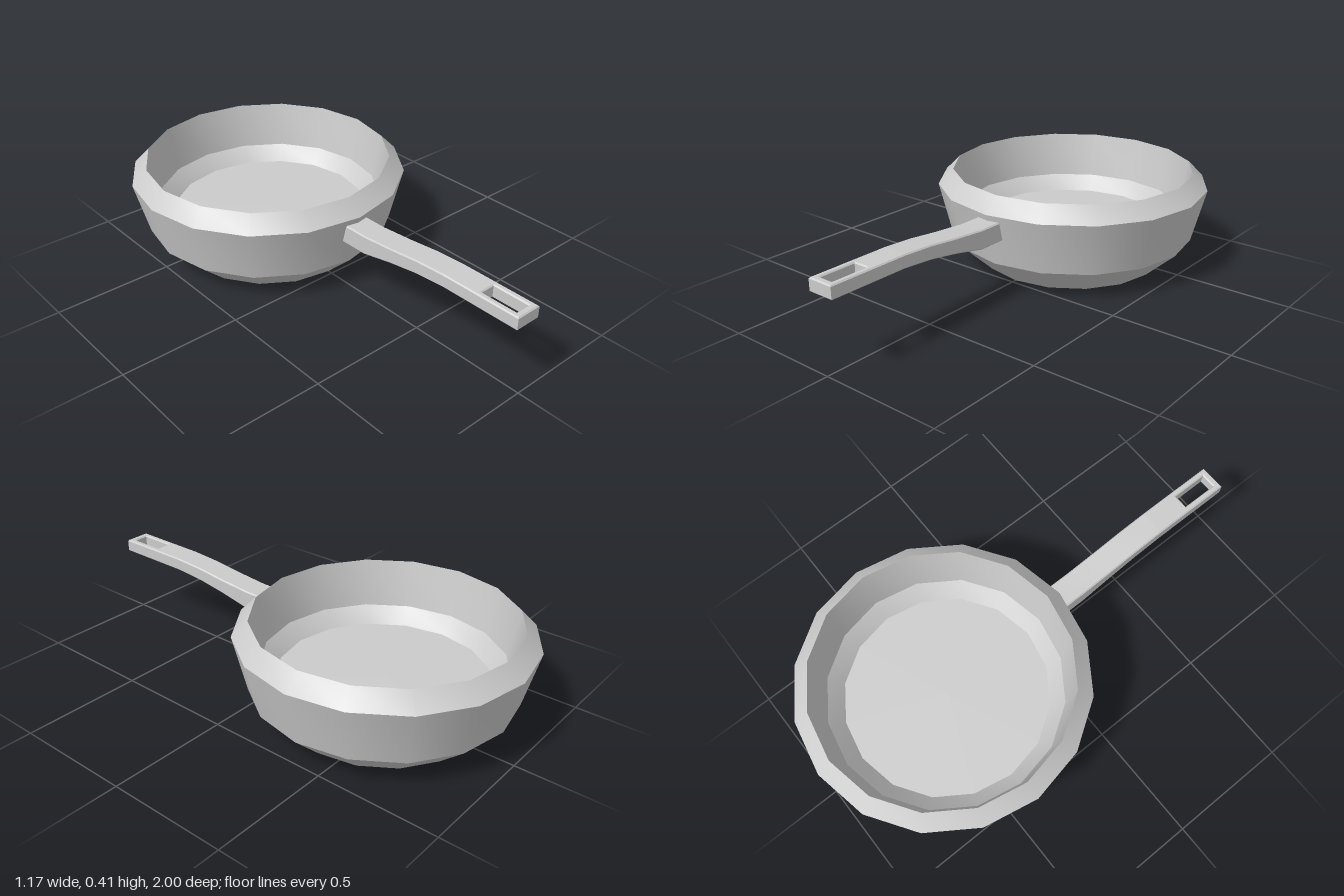
import * as THREE from 'three';
import { toCreasedNormals } from 'three/addons/utils/BufferGeometryUtils.js';

const material = new THREE.MeshStandardMaterial({ color: 0xcccccc });
const points = (list) => list.map(([x, y]) => new THREE.Vector2(x, y));

function addPart(group, name, geometry) {
  const mesh = new THREE.Mesh(toCreasedNormals(geometry, 0.5), material);
  mesh.name = name;
  group.add(mesh);
  return mesh;
}

// Extrusion whose small bevel stays inside the drawn outline
function bevelled(shape, thickness, bevel = 0.005) {
  return new THREE.ExtrudeGeometry(shape, {
    depth: thickness - 2 * bevel, bevelThickness: bevel, bevelSize: bevel,
    bevelOffset: -bevel, bevelSegments: 1,
  }).translate(0, 0, bevel);
}

// Pull the bevel at a joint back flat so neighbouring parts meet flush
function flattenEnd(geometry, z) {
  const p = geometry.attributes.position;
  for (let i = 0; i < p.count; i++) {
    if (Math.abs(p.getZ(i) - z) < 0.01) p.setZ(i, z);
  }
  return geometry;
}

export function createModel() {
  const model = new THREE.Group();
  model.name = 'fryingPan';

  // Sixteen-sided bowl: outside, rim, then inside down to the floor
  const profile = points([
    [0, 0], [0.395, 0], [0.527, 0.12], [0.584, 0.347], [0.52, 0.412],
    [0.48, 0.22], [0.42, 0.157], [0, 0.157],
  ]);
  addPart(model, 'bowl', new THREE.LatheGeometry(profile, 16)).position.z = -0.416;

  const handle = new THREE.Group();
  handle.name = 'handle';
  model.add(handle);
  const halfWidth = 0.055, joint = 0.66;

  // Curved arm: side outline (z, y) extruded across the width
  const arm = new THREE.Shape(points([
    [0.12, 0.24], [0.25, 0.24], [0.4, 0.27], [0.53, 0.29], [joint, 0.3],
    [joint, 0.355], [0.53, 0.348], [0.4, 0.334], [0.25, 0.322], [0.12, 0.322],
  ]));
  const armGeometry = bevelled(arm, 2 * halfWidth).rotateY(-Math.PI / 2).translate(halfWidth, 0, 0);
  addPart(handle, 'handleArm', flattenEnd(armGeometry, joint));

  // Flat grip: plan outline (x, -z) with the hanging slot
  const rectangle = (w, z0, z1) => points([[-w, -z1], [w, -z1], [w, -z0], [-w, -z0]]);
  const grip = new THREE.Shape(rectangle(halfWidth, joint, 1));
  grip.holes.push(new THREE.Path(rectangle(0.031, 0.82, 0.973).reverse()));
  const gripGeometry = bevelled(grip, 0.055).rotateX(-Math.PI / 2).translate(0, 0.3, 0);
  addPart(handle, 'handleGrip', flattenEnd(gripGeometry, joint));

  return model;
}
